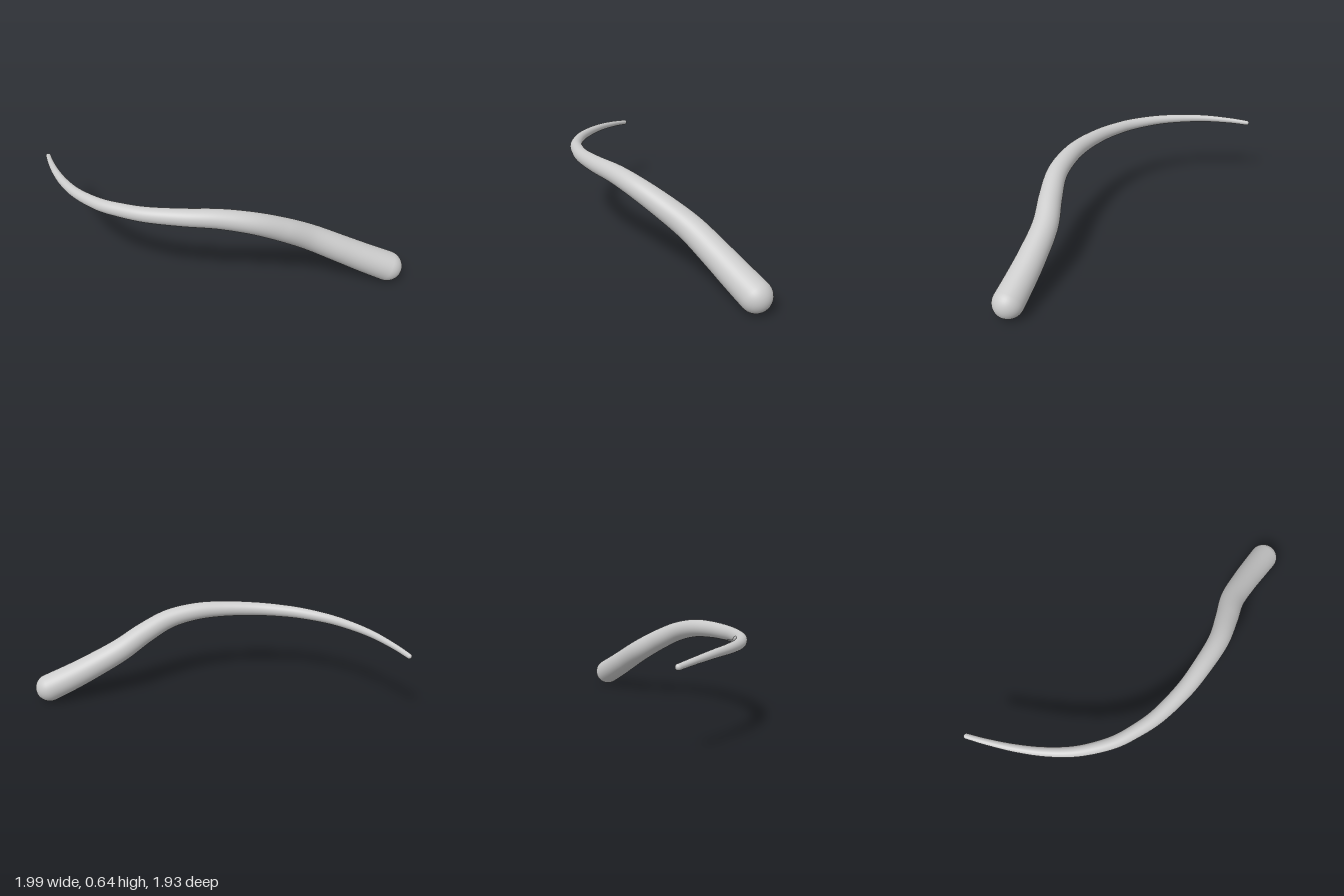
import * as THREE from 'three';

// Centre line from the thick end to the tip: x, y, z, radius
const PATH = [
  [0.897, 0.104, 0.861, 0.103],
  [0.75, 0.172, 0.793, 0.099],
  [0.6, 0.247, 0.727, 0.094],
  [0.4, 0.35, 0.652, 0.088],
  [0.2, 0.45, 0.622, 0.081],
  [0, 0.53, 0.585, 0.073],
  [-0.2, 0.57, 0.507, 0.066],
  [-0.4, 0.577, 0.407, 0.059],
  [-0.6, 0.572, 0.267, 0.052],
  [-0.73, 0.568, 0.135, 0.047],
  [-0.83, 0.563, 0, 0.043],
  [-0.917, 0.558, -0.2, 0.037],
  [-0.957, 0.552, -0.4, 0.032],
  [-0.967, 0.543, -0.6, 0.027],
  [-0.957, 0.524, -0.8, 0.022],
  [-0.941, 0.505, -0.943, 0.019],
];
const STEPS = 120, SIDES = 40, CAP = 10;

function taperedTube() {
  const line = new THREE.CatmullRomCurve3(PATH.map(p => new THREE.Vector3(p[0], p[1], p[2])), false, 'catmullrom', 0.5);
  const radii = new THREE.CatmullRomCurve3(PATH.map(p => new THREE.Vector3(p[3], 0, 0)), false, 'catmullrom', 0.5);
  const frames = line.computeFrenetFrames(STEPS, false);

  // Rings along the line, with a hemisphere of shrinking rings at each end
  const rings = [];
  const addRing = (i, angle) => {
    const u = i / STEPS, r = radii.getPoint(line.getUtoTmapping(u)).x;
    const centre = line.getPointAt(u).addScaledVector(frames.tangents[i], r * Math.sin(angle));
    rings.push({ i, centre, angle, r: r * Math.cos(angle) });
  };
  for (let k = CAP; k > 0; k--) addRing(0, -k / CAP * Math.PI / 2);
  for (let i = 0; i <= STEPS; i++) addRing(i, 0);
  for (let k = 1; k <= CAP; k++) addRing(STEPS, k / CAP * Math.PI / 2);

  const position = [], normal = [], index = [];
  rings.forEach(({ i, centre, angle, r }, row) => {
    for (let s = 0; s <= SIDES; s++) {
      const a = s / SIDES * Math.PI * 2;
      const out = new THREE.Vector3()
        .addScaledVector(frames.normals[i], Math.cos(a))
        .addScaledVector(frames.binormals[i], Math.sin(a));
      position.push(...centre.clone().addScaledVector(out, r).toArray());
      const n = out.multiplyScalar(Math.cos(angle)).addScaledVector(frames.tangents[i], Math.sin(angle));
      normal.push(...n.toArray());
      if (row && s) {
        const d = row * (SIDES + 1) + s, c = d - 1, b = d - SIDES - 1, e = b - 1;
        index.push(e, b, c, b, d, c);
      }
    }
  });
  const geometry = new THREE.BufferGeometry();
  geometry.setAttribute('position', new THREE.Float32BufferAttribute(position, 3));
  geometry.setAttribute('normal', new THREE.Float32BufferAttribute(normal, 3));
  geometry.setIndex(index);
  return geometry;
}

export function createModel() {
  const group = new THREE.Group();
  group.name = 'curvedTail';
  const tail = new THREE.Mesh(taperedTube(), new THREE.MeshStandardMaterial({ color: 0xcccccc }));
  tail.name = 'tail';
  group.add(tail);
  return group;
}
